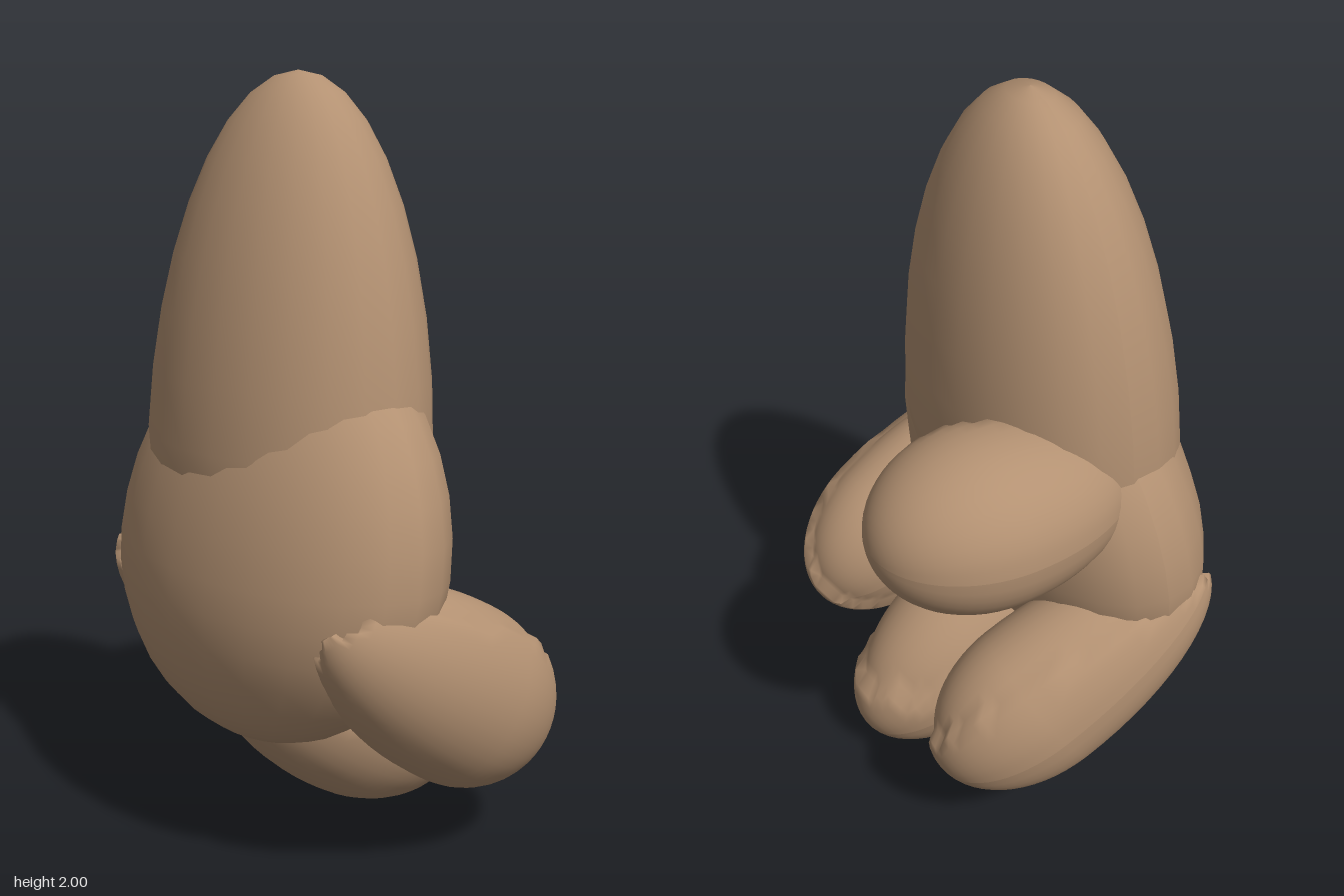
import * as THREE from 'three';

const skin = new THREE.MeshStandardMaterial({ color: 0xb39172 });

// Egg-shaped mass: separate heights above and below the widest level,
// a slight taper towards the top, and a lean along x and z
function egg(name, { center, rx, rz, up, down, taper = 0, leanX = 0, leanZ = 0 }) {
  const geo = new THREE.SphereGeometry(1, 24, 18);
  const p = geo.attributes.position;
  for (let i = 0; i < p.count; i++) {
    const t = p.getY(i);
    const y = t * (t > 0 ? up : down);
    const k = 1 - taper * Math.max(t, 0);
    p.setXYZ(i, p.getX(i) * rx * k + leanX * y, y, p.getZ(i) * rz * k + leanZ * y);
  }
  geo.computeVertexNormals();
  const mesh = new THREE.Mesh(geo, skin);
  mesh.name = name;
  mesh.position.set(...center);
  return mesh;
}

// Stubby digit along its local z, long towards the palm and blunt at the tip;
// the side facing `dir` is slightly sunken, which leaves a ragged step
function digit(name, { center, rx, ry, front, back, pitch = 0, yaw = 0, dir, limit }) {
  const geo = new THREE.SphereGeometry(1, 40, 32);
  geo.rotateX(Math.PI / 2);
  const p = geo.attributes.position;
  const n = new THREE.Vector3(...dir).normalize();
  const v = new THREE.Vector3();
  for (let i = 0; i < p.count; i++) {
    v.fromBufferAttribute(p, i);
    const ragged = 0.06 * Math.sin(v.x * 19 + v.z * 13);
    const k = v.dot(n) > limit + ragged ? 0.93 : 1;
    p.setXYZ(i, v.x * rx * k, v.y * ry * k, v.z * (v.z > 0 ? front : back) * k);
  }
  geo.computeVertexNormals();
  const mesh = new THREE.Mesh(geo, skin);
  mesh.name = name;
  mesh.position.set(...center);
  mesh.rotation.set(-pitch, yaw, 0, 'YXZ');
  return mesh;
}

export function createModel() {
  const model = new THREE.Group();
  model.name = 'paw';

  // Forearm and palm
  model.add(
    egg('forearm', {
      center: [-0.03, 1.08, 0.13], rx: 0.45, rz: 0.322, up: 0.92, down: 0.52,
      taper: 0.06, leanX: -0.02, leanZ: -0.06,
    }),
    egg('palm', {
      center: [0, 0.79, 0.187], rx: 0.58, rz: 0.323, up: 0.6, down: 0.49, leanZ: -0.14,
    }),
  );

  // Outer toes, mirrored
  for (const s of [1, -1]) {
    model.add(digit(s > 0 ? 'leftToe' : 'rightToe', {
      center: [s * 0.41, 0.452, -0.1], rx: 0.2, ry: 0.245, front: 0.57, back: 0.32,
      pitch: 0.56, yaw: s * 0.12, dir: [-s * 0.7, 0.7, 0.25], limit: 0.08,
    }));
  }

  // Middle toe and thumb
  model.add(
    digit('middleToe', {
      center: [0.02, 0.308, -0.066], rx: 0.21, ry: 0.26, front: 0.54, back: 0.4,
      pitch: 0.56, yaw: 0.05, dir: [0, 0.8, 0.6], limit: 0,
    }),
    digit('thumb', {
      center: [-0.322, 1.052, -0.2], rx: 0.243, ry: 0.233, front: 0.4, back: 0.312,
      dir: [0.7, 0, 0.7], limit: 0.4,
    }),
  );
  return model;
}
